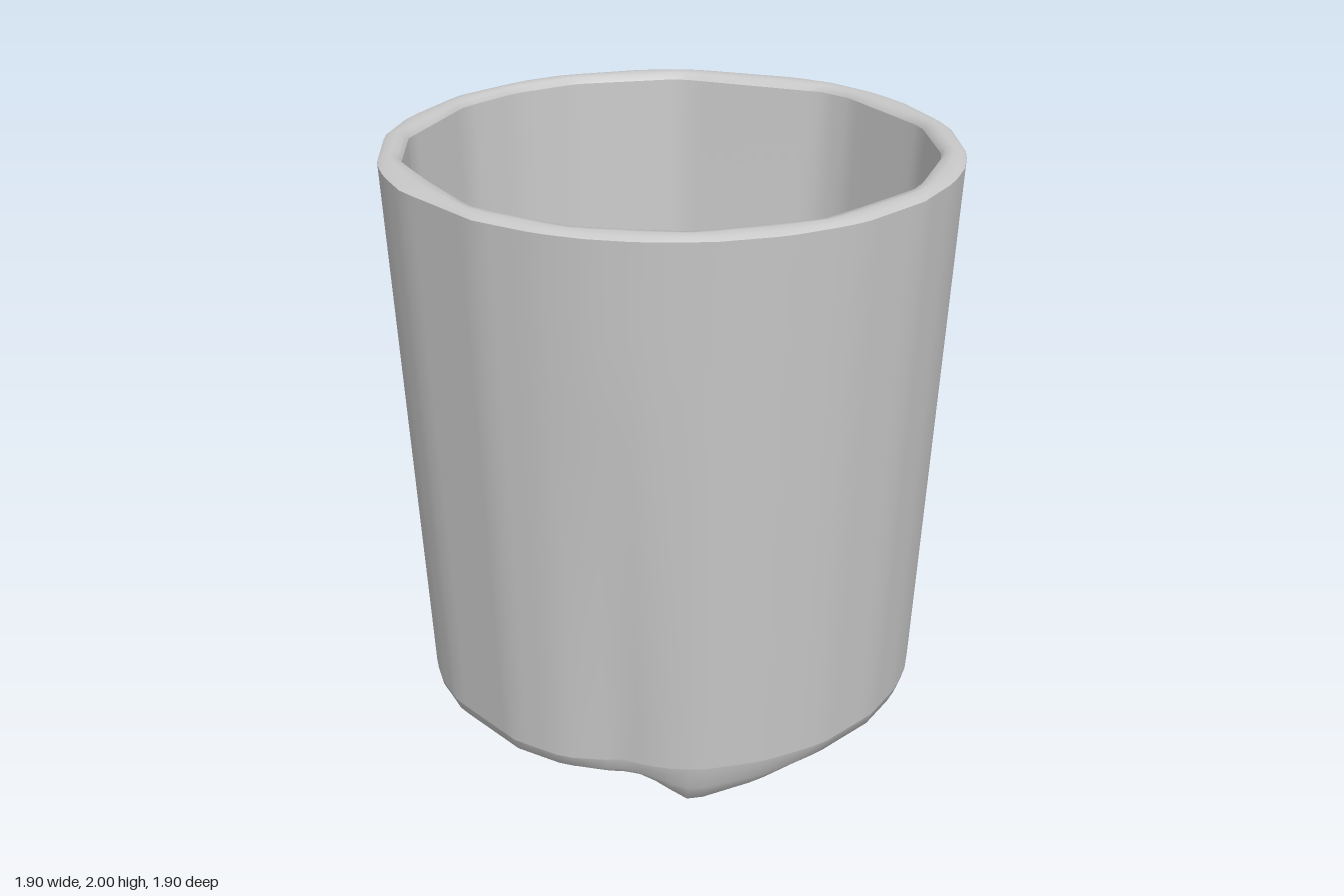
import * as THREE from 'three';

const SEGMENTS = 96;
const RAD = Math.PI / 180;

// Angles are in degrees, from +z towards +x
const gap = (a, b) => ((a - b + 540) % 360) - 180;

// Corners of the uneven polygons that the outer and inner walls follow
const OUTER = [0, 13, 22, 32, 45, 58, 70, 75, 90, 103, 112, 122, 140, 158, 167, 180, 189, 212, 225, 243, 252, 270, 288, 301, 320, 328, 338, 360];
const INNER = [-5, 18, 41, 68, 95, 122, 144, 172, 180, 216, 241, 257, 273, 300, 319, 355, 378];

// Scale that flattens a circle to straight sides between corners
function flatten(corners, a) {
  const i = corners.findIndex((c) => c > a);
  const half = (corners[i] - corners[i - 1]) / 2;
  return Math.cos(half * RAD) / Math.cos((a - corners[i] + half) * RAD);
}

// Four pointed feet: [angle, width on the lower-angle side, width on the higher-angle side]
const FEET = [[41.5, 10, 34], [138.5, 34, 10], [221.5, 10, 34], [318.5, 34, 10]];
// Dents low in the wall: [angle, half width, depth, height at which it fades out]
const DENTS = [[26, 13, 0.05, 1.5], [177, 11, 0.04, 1.35], [214, 8, 0.04, 1.1]];

function footDrop(a) {
  let drop = 0;
  for (const [angle, low, high] of FEET) {
    const d = gap(a, angle);
    drop = Math.max(drop, 0.09 * (1 - Math.abs(d) / (d < 0 ? low : high)));
  }
  return drop;
}

function dent(a, y) {
  let depth = 0;
  for (const [angle, width, size, top] of DENTS) {
    const t = 1 - Math.abs(gap(a, angle)) / width;
    const h = 1 - y / top;
    if (t > 0 && h > 0) depth += size * t * h;
  }
  return depth;
}

// Closed rings joined from the first to the last; point(ring, angle) gives [radius, y]
function ringSurface(rings, point) {
  const pos = [], index = [];
  rings.forEach((ring, i) => {
    for (let j = 0; j < SEGMENTS; j++) {
      const a = (j * 360) / SEGMENTS;
      const [r, y] = point(ring, a);
      pos.push(r * Math.sin(a * RAD), y, r * Math.cos(a * RAD));
      if (i === rings.length - 1) continue;
      const k = (j + 1) % SEGMENTS;
      const p = i * SEGMENTS + j, q = i * SEGMENTS + k;
      index.push(p, q, q + SEGMENTS, p, q + SEGMENTS, p + SEGMENTS);
    }
  });
  const g = new THREE.BufferGeometry();
  g.setAttribute('position', new THREE.Float32BufferAttribute(pos, 3));
  g.setIndex(index);
  g.computeVertexNormals();
  return g;
}

export function createModel() {
  const group = new THREE.Group();
  const grey = new THREE.MeshStandardMaterial({ color: 0xc8c8c8 });
  grey.name = 'light grey';
  const add = (name, geometry) => {
    const mesh = new THREE.Mesh(geometry, grey);
    mesh.name = name;
    group.add(mesh);
  };

  // Tapered outer wall with dents, from the bottom bevel to the rim
  const wall = [];
  for (let i = 0; i <= 12; i++) wall.push([0.85 + (0.1 * i) / 12, 0.15 + (1.835 * i) / 12]);
  add('outerWall', ringSurface(wall, ([r, y], a) => [r * flatten(OUTER, a) - dent(a, y), y]));

  // Bottom edge: [radius, y, share of foot drop, share of dent], skirt inside to bevel outside
  const edge = [[0.775, 0.25, 0, 0], [0.782, 0.16, 0.3, 0], [0.8, 0.088, 1, 0.4], [0.835, 0.11, 0.5, 0.8], [0.85, 0.15, 0, 1]];
  add('footedEdge', ringSurface(edge, ([r, y, k, d], a) =>
    [r * flatten(OUTER, a) - d * dent(a, y), y - k * footDrop(a) * 0.98]));

  // Flat underside, recessed above the feet
  add('underside', ringSurface([[0, 0.25], [0.775, 0.25]], ([r, y], a) => [r * flatten(OUTER, a), y]));

  // Narrow rim blending from the outer polygon to the inner one
  const rim = [[0.95, 1.985, 0], [0.935, 1.996, 0.2], [0.91, 2, 0.5], [0.885, 1.996, 0.8], [0.873, 1.975, 1]];
  add('rim', ringSurface(rim, ([r, y, k], a) =>
    [r * ((1 - k) * flatten(OUTER, a) + k * flatten(INNER, a)), y]));

  // Inner wall, thickening downwards and curving into the floor
  const inside = [[0.873, 1.975], [0.84, 1.4], [0.805, 0.85], [0.775, 0.5], [0.75, 0.4], [0.7, 0.34], [0.62, 0.33], [0, 0.33]];
  add('innerWallAndFloor', ringSurface(inside, ([r, y], a) => [r * flatten(INNER, a), y]));

  return group;
}
